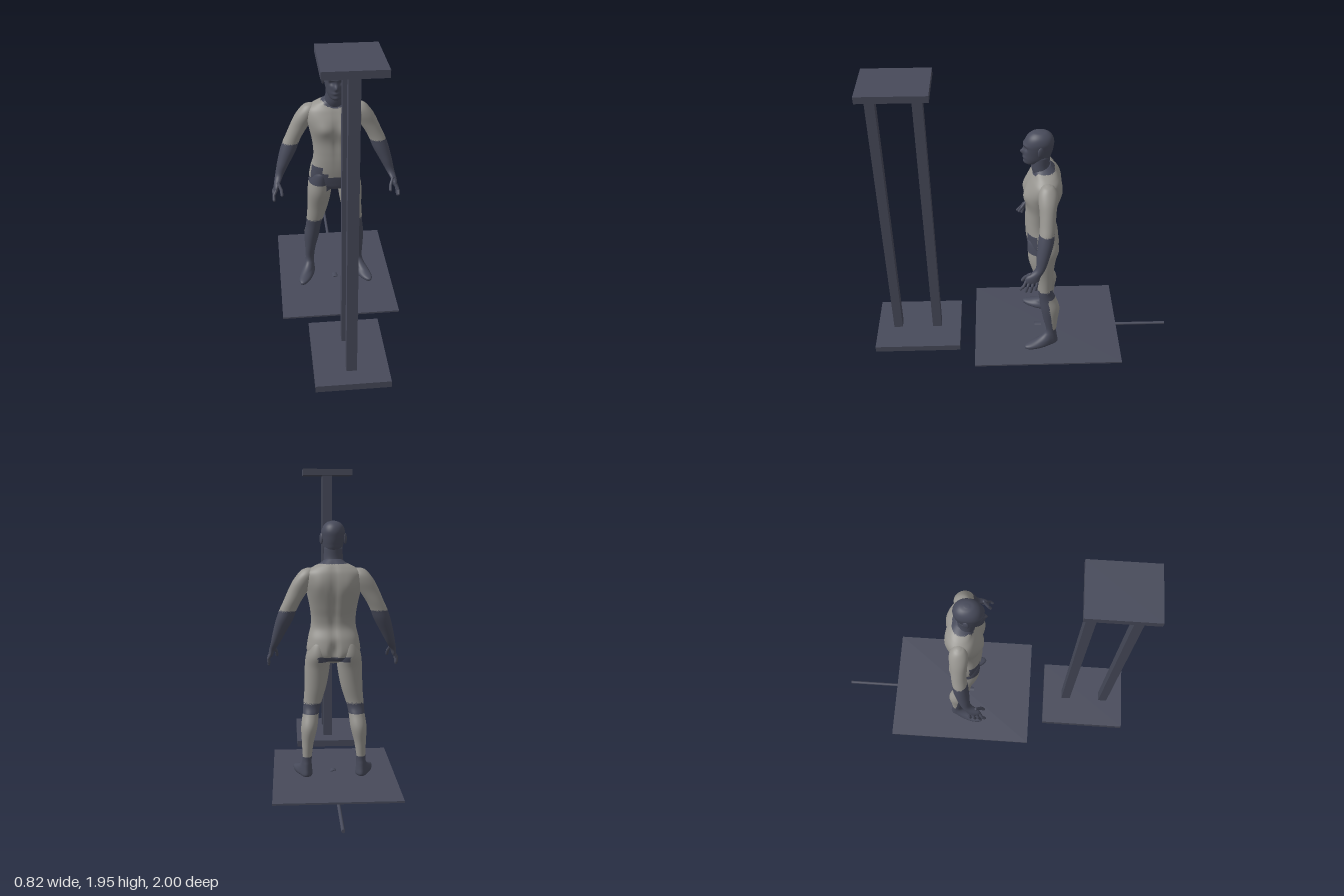
import * as THREE from 'three';

const slate = new THREE.MeshStandardMaterial({ color: 0x474a5a });
slate.name = 'dark slate';
const grey = new THREE.MeshStandardMaterial({ color: 0x979590 });
grey.name = 'warm grey';

const gauss = (d, w) => Math.exp(-(d * d) / (w * w));

// Closed body from horizontal rings [y, centreX, zBack, zFront, halfWidth], bottom to top.
// sculpt moves each vertex; isDark picks the colour of each triangle.
function loft(name, rings, { side = 1, segs = 40, rows = 40, power = 2, sculpt, isDark = () => true }) {
  const curve = new THREE.CubicInterpolant(rings.map((_, i) => i), rings.flat(), 5);
  const pos = [], faces = [[], []];
  const put = (x, y, z) => {
    const v = new THREE.Vector3(x, y, z);
    if (sculpt) sculpt(v, side);
    pos.push(v.x, v.y, v.z);
  };
  const ends = [];
  for (let i = 0; i <= rows; i++) {
    const [y, cx, zb, zf, rx] = Array.from(curve.evaluate((i / rows) * (rings.length - 1)));
    const cz = (zb + zf) / 2, rz = (zf - zb) / 2;
    if (i === 0 || i === rows) ends.push([cx * side, y, cz]);
    for (let j = 0; j < segs; j++) {
      const t = (j / segs) * Math.PI * 2, c = Math.cos(t), s = Math.sin(t);
      const bend = (k) => Math.sign(k) * Math.abs(k) ** (2 / power);
      put(cx * side + rx * bend(c), y, cz + rz * bend(s));
    }
  }
  ends.forEach((e) => put(...e));
  const tri = (a, b, c) => {
    const mid = (k) => (pos[a * 3 + k] + pos[b * 3 + k] + pos[c * 3 + k]) / 3;
    faces[isDark(mid(0), mid(1), mid(2)) ? 0 : 1].push(a, b, c);
  };
  const bottom = (rows + 1) * segs, last = rows * segs;
  for (let j = 0; j < segs; j++) {
    const k = (j + 1) % segs;
    for (let i = 0; i < rows; i++) {
      const a = i * segs + j, b = i * segs + k;
      tri(a, a + segs, b);
      tri(b, a + segs, b + segs);
    }
    tri(bottom, j, k);
    tri(bottom + 1, last + k, last + j);
  }
  const geo = new THREE.BufferGeometry();
  geo.setAttribute('position', new THREE.Float32BufferAttribute(pos, 3));
  geo.setIndex(faces.flat());
  geo.addGroup(0, faces[0].length, 0);
  geo.addGroup(faces[0].length, faces[1].length, 1);
  geo.computeVertexNormals();
  const mesh = new THREE.Mesh(geo, [slate, grey]);
  mesh.name = name;
  return mesh;
}

// Box given by its limits on each axis
function slab(name, x, y, z) {
  const mesh = new THREE.Mesh(new THREE.BoxGeometry(x[1] - x[0], y[1] - y[0], z[1] - z[0]), slate);
  mesh.position.set((x[0] + x[1]) / 2, (y[0] + y[1]) / 2, (z[0] + z[1]) / 2);
  mesh.name = name;
  return mesh;
}

// Cylinder lying along z
function bar(name, radius, y, z0, z1) {
  const mesh = new THREE.Mesh(new THREE.CylinderGeometry(radius, radius, z1 - z0, 20), slate);
  mesh.rotation.x = Math.PI / 2;
  mesh.position.set(0, y, (z0 + z1) / 2);
  mesh.name = name;
  return mesh;
}

function ball(name, p, r) {
  const mesh = new THREE.Mesh(new THREE.SphereGeometry(1, 16, 12), slate);
  mesh.position.set(...p);
  mesh.scale.set(...r);
  mesh.name = name;
  return mesh;
}

// Finger as rounded segments through a list of points
function finger(name, points, radius, side) {
  const group = new THREE.Group();
  group.name = name;
  const pts = points.map(([x, y, z]) => new THREE.Vector3(x * side, y, z));
  for (let i = 1; i < pts.length; i++) {
    const dir = pts[i].clone().sub(pts[i - 1]);
    const seg = new THREE.Mesh(new THREE.CapsuleGeometry(radius, dir.length(), 4, 10), slate);
    seg.position.copy(pts[i]).add(pts[i - 1]).multiplyScalar(0.5);
    seg.quaternion.setFromUnitVectors(new THREE.Vector3(0, 1, 0), dir.normalize());
    seg.name = name + 'Segment';
    group.add(seg);
  }
  return group;
}

// Dark patches at the hips, groin and under the seat, shared by torso and thighs
function hipPatch(x, y, z) {
  const ax = Math.abs(x);
  if (z > -0.09 && ax > 0.05 && y > 0.8 && y < (ax > 0.085 ? 0.935 : 0.89)) return true;
  if (z > -0.14 && y > 0.8 && y < 0.84) return true;
  if (z > -0.1 && ax < 0.06 && y < 0.86 && y > 0.75) return true;
  return z < -0.17 && ax < 0.1 && y > 0.765 && y < 0.795;
}

function sculptTorso(v) {
  const ax = Math.abs(v.x), { y } = v;
  if (v.z < -0.13) {
    v.z += 0.014 * gauss(v.x, 0.022) * gauss(y - 1.12, 0.2); // spine
    v.z += 0.035 * gauss(v.x, 0.022) * gauss(y - 0.82, 0.06); // seat cleft
    v.z -= 0.008 * gauss(ax - 0.09, 0.04) * gauss(y - 1.24, 0.06); // shoulder blades
  } else if (v.z > -0.09) {
    v.z += 0.014 * gauss(ax - 0.075, 0.05) * gauss(y - 1.2, 0.045); // chest
    v.z -= 0.008 * gauss(v.x, 0.015) * gauss(y - 1.15, 0.16); // midline
  }
}

function sculptHead(v) {
  if (v.z < -0.07) return;
  const ax = Math.abs(v.x), { y } = v;
  v.z -= 0.014 * gauss(ax - 0.028, 0.014) * gauss(y - 1.512, 0.014); // eye sockets
  v.z += 0.006 * gauss(ax - 0.025, 0.03) * gauss(y - 1.535, 0.01); // brow
  v.z += 0.022 * gauss(v.x, 0.012) * gauss(y - 1.483, 0.018); // nose
  v.z += 0.007 * gauss(v.x, 0.024) * gauss(y - 1.447, 0.009); // lips
  v.z += 0.006 * gauss(v.x, 0.02) * gauss(y - 1.415, 0.012); // chin
}

// Turns the toes outwards
function splayFoot(v, side) {
  const k = THREE.MathUtils.clamp((0.16 - v.y) / 0.07, 0, 1);
  v.x += side * k * Math.max(0, v.z + 0.19) * 0.32;
}

function createFigure() {
  const figure = new THREE.Group();
  figure.name = 'figure';

  figure.add(loft('torso', [
    [0.745, 0, -0.15, -0.08, 0.02], [0.775, 0, -0.215, -0.04, 0.1], [0.82, 0, -0.234, -0.028, 0.162],
    [0.9, 0, -0.222, -0.018, 0.157], [0.97, 0, -0.194, -0.016, 0.141], [1.03, 0, -0.197, -0.018, 0.138],
    [1.1, 0, -0.215, -0.02, 0.146], [1.185, 0, -0.236, -0.01, 0.164], [1.25, 0, -0.24, -0.02, 0.178],
    [1.305, 0, -0.232, -0.045, 0.172], [1.34, 0, -0.215, -0.065, 0.13], [1.365, 0, -0.195, -0.07, 0.08],
    [1.39, 0, -0.17, -0.075, 0.045],
  ], {
    segs: 72, rows: 80, power: 2.3, sculpt: sculptTorso,
    isDark: (x, y, z) => y > 1.362 || (z > -0.13 && Math.abs(x) < 0.07 && y > 1.325 + Math.abs(x) * 0.3) || hipPatch(x, y, z),
  }));

  figure.add(loft('neck', [
    [1.31, 0, -0.19, -0.075, 0.07], [1.36, 0, -0.172, -0.055, 0.064],
    [1.4, 0, -0.163, -0.05, 0.059], [1.46, 0, -0.165, -0.05, 0.056],
  ], { rows: 16 }));

  figure.add(loft('head', [
    [1.398, 0, -0.07, -0.02, 0.018], [1.41, 0, -0.11, -0.01, 0.038], [1.44, 0, -0.16, -0.006, 0.054],
    [1.48, 0, -0.176, -0.006, 0.063], [1.52, 0, -0.184, -0.005, 0.069], [1.555, 0, -0.186, -0.012, 0.071],
    [1.587, 0, -0.174, -0.03, 0.06], [1.609, 0, -0.148, -0.058, 0.037], [1.617, 0, -0.115, -0.09, 0.01],
  ], { segs: 72, rows: 64, power: 2.1, sculpt: sculptHead }));

  for (const side of [1, -1]) {
    const label = side > 0 ? 'left' : 'right';
    const ear = ball(label + 'Ear', [side * 0.073, 1.51, -0.105], [0.009, 0.034, 0.02]);
    ear.rotation.y = side * 0.35;
    figure.add(ear);

    figure.add(loft(label + 'Leg', [
      [0.045, 0.17, -0.228, -0.012, 0.042], [0.055, 0.17, -0.234, -0.008, 0.046], [0.068, 0.17, -0.234, -0.02, 0.045],
      [0.09, 0.17, -0.23, -0.085, 0.038], [0.12, 0.169, -0.226, -0.135, 0.031], [0.16, 0.167, -0.222, -0.155, 0.029],
      [0.25, 0.163, -0.23, -0.135, 0.036], [0.35, 0.153, -0.24, -0.116, 0.05], [0.43, 0.143, -0.212, -0.105, 0.05],
      [0.49, 0.134, -0.19, -0.096, 0.054], [0.6, 0.113, -0.196, -0.075, 0.067], [0.72, 0.101, -0.21, -0.038, 0.077],
      [0.8, 0.096, -0.23, -0.03, 0.074], [0.87, 0.09, -0.215, -0.03, 0.06], [0.9, 0.085, -0.19, -0.05, 0.045],
    ], {
      side, segs: 48, rows: 90, sculpt: splayFoot,
      isDark: (x, y, z) => {
        if (y > 0.5) return hipPatch(x, y, z);
        return y < 0.17 || y > 0.435 || z > -0.2 + (y - 0.17) * 0.14;
      },
    }));

    // Arm runs from the palm up to the shoulder cap
    figure.add(loft(label + 'Arm', [
      [0.775, 0.388, -0.075, -0.015, 0.01], [0.79, 0.386, -0.088, -0.003, 0.015], [0.82, 0.379, -0.098, -0.012, 0.019],
      [0.865, 0.36, -0.127, -0.066, 0.027], [0.94, 0.332, -0.155, -0.075, 0.04], [1.02, 0.3, -0.178, -0.083, 0.052],
      [1.08, 0.278, -0.184, -0.092, 0.053], [1.13, 0.254, -0.19, -0.095, 0.054], [1.19, 0.222, -0.195, -0.094, 0.06],
      [1.25, 0.19, -0.203, -0.088, 0.063], [1.295, 0.168, -0.2, -0.092, 0.054], [1.325, 0.155, -0.18, -0.11, 0.038],
      [1.337, 0.15, -0.155, -0.135, 0.012],
    ], { side, rows: 66, isDark: (x, y) => y < 1.075 }));

    // Four fingers fanned along z, then the thumb
    [[-0.01, 0.023, 0.745], [-0.033, -0.008, 0.725], [-0.056, -0.038, 0.722], [-0.078, -0.068, 0.738]].forEach(([z0, z1, tip], i) => {
      figure.add(finger(`${label}Finger${i + 1}`, [
        [0.386, 0.795, z0], [0.402, 0.765, (z0 + z1) / 2], [0.401, tip, z1],
      ], 0.009, side));
    });
    figure.add(finger(label + 'Thumb', [
      [0.37, 0.835, -0.035], [0.352, 0.798, -0.005], [0.35, 0.772, 0.012],
    ], 0.01, side));
  }
  return figure;
}

export function createModel() {
  const model = new THREE.Group();
  model.name = 'figureWithStand';

  // Two-post stand
  const stand = new THREE.Group();
  stand.name = 'stand';
  stand.add(
    slab('standBase', [-0.22, 0.22], [0.03, 0.072], [0.43, 1]),
    slab('standTop', [-0.168, 0.168], [1.906, 1.948], [0.512, 0.92]),
    slab('frontPost', [-0.031, 0.031], [0.072, 1.906], [0.832, 0.89]),
    slab('backPost', [-0.031, 0.031], [0.072, 1.906], [0.563, 0.623]),
  );

  // Floor plate with the rod and its end knob underneath
  const platform = new THREE.Group();
  platform.name = 'platform';
  platform.add(
    slab('floorPlate', [-0.378, 0.378], [0.034, 0.045], [-0.652, 0.328]),
    bar('rod', 0.01, 0.024, -1, -0.1),
    bar('rodKnob', 0.026, 0.026, -0.13, -0.083),
  );

  model.add(stand, platform, createFigure());
  return model;
}
